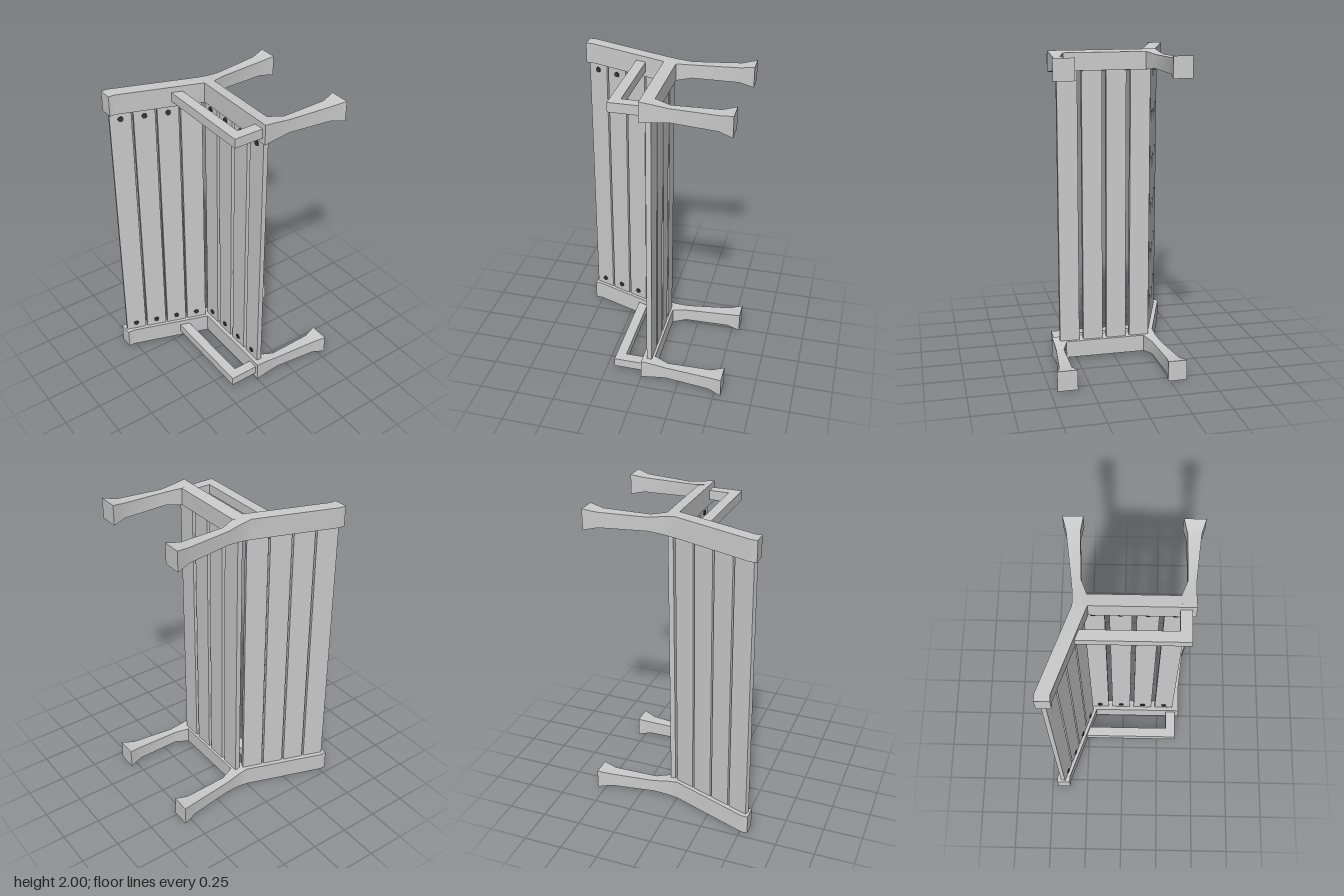
import * as THREE from 'three';
import { toCreasedNormals } from 'three/addons/utils/BufferGeometryUtils.js';

const grey = new THREE.MeshStandardMaterial({ color: 0xcccccc });
const dark = new THREE.MeshStandardMaterial({ color: 0x383838 });

function add(parent, name, geometry, material = grey) {
  const mesh = new THREE.Mesh(geometry, material);
  mesh.name = name;
  parent.add(mesh);
  return mesh;
}

// Box whose cross-sections [z, xMin, xMax, halfThickness] are given in order of rising z
function loft(sections) {
  const n = sections.length - 1;
  const geo = new THREE.BoxGeometry(1, 1, 1, 1, 1, n);
  const p = geo.attributes.position;
  for (let i = 0; i < p.count; i++) {
    const [z, x0, x1, h] = sections[Math.round((p.getZ(i) + 0.5) * n)];
    p.setXYZ(i, p.getX(i) < 0 ? x0 : x1, Math.sign(p.getY(i)) * h, z);
  }
  return toCreasedNormals(geo, 0.45);
}

// One end frame: back post with rear leg, front leg, seat rail and armrest
function endFrame(name, y) {
  const g = new THREE.Group();
  g.name = name;
  g.position.y = y;
  add(g, 'backPostAndLeg', loft([
    [-0.55, -0.355, -0.235, 0.065],
    [-0.46, -0.33, -0.25, 0.048],
    [-0.165, -0.291, -0.235, 0.043],
    [-0.072, -0.28, -0.2, 0.055],
    [0, -0.28, -0.195, 0.065],
    [0.51, -0.46, -0.373, 0.065],
    [0.55, -0.46, -0.373, 0.065],
  ]));
  add(g, 'frontLeg', loft([
    [-0.545, 0.332, 0.46, 0.065],
    [-0.46, 0.353, 0.433, 0.048],
    [-0.17, 0.353, 0.403, 0.043],
    [-0.08, 0.32, 0.402, 0.055],
    [0, 0.32, 0.405, 0.065],
  ]));
  add(g, 'seatRail', loft([
    [-0.075, -0.21, 0.33, 0.055],
    [0, -0.21, 0.33, 0.065],
  ]));
  // L-shaped armrest; shape y maps to -z
  const arm = new THREE.Shape([
    [-0.28, 0.125], [0.313, 0.125], [0.313, -0.01], [0.38, -0.01], [0.38, 0.19], [-0.28, 0.19],
  ].map(([x, z]) => new THREE.Vector2(x, -z)));
  const armGeo = new THREE.ExtrudeGeometry(arm, { depth: 0.06, bevelEnabled: false });
  armGeo.rotateX(-Math.PI / 2).translate(0, -0.03, 0);
  add(g, 'armrest', armGeo);
  return g;
}

// Slat with a screw near each end; its face looks along local +z
function slat(name, width) {
  const g = new THREE.Group();
  g.name = name;
  add(g, 'board', new THREE.BoxGeometry(width, 1.76, 0.033));
  for (const y of [-0.823, 0.823]) {
    const screw = add(g, 'screw', new THREE.CylinderGeometry(0.017, 0.017, 0.012, 16), dark);
    screw.rotation.x = Math.PI / 2;
    screw.position.set(0, y, 0.0165);
  }
  return g;
}

export function createModel() {
  const model = new THREE.Group();
  model.name = 'bench';
  model.add(endFrame('lowerEndFrame', 0.065), endFrame('upperEndFrame', 1.935));

  const lean = Math.atan2(0.178, 0.51);
  for (let i = 0; i < 4; i++) {
    const seat = slat('seatSlat', 0.128);
    seat.position.set(-0.17 + i * 0.155, 1, -0.044);
    model.add(seat);

    // Back slats follow the slope of the posts
    const back = slat('backSlat', 0.133);
    const z = 0.06 + i * 0.137;
    back.position.set(-0.235 - 0.349 * z, 1, z);
    back.rotation.y = Math.PI / 2 - lean;
    model.add(back);
  }
  return model;
}
